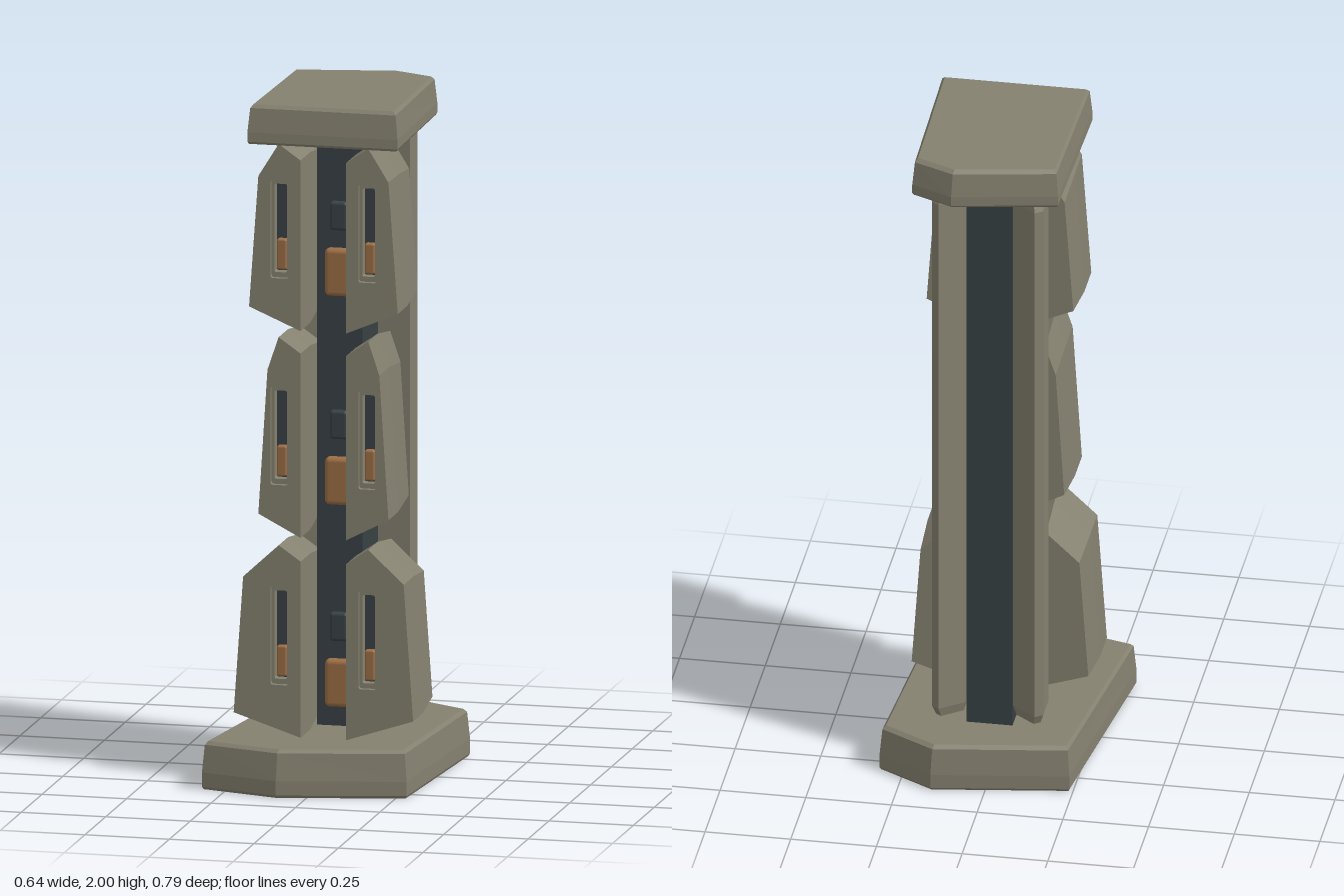
import * as THREE from 'three';
import { RoundedBoxGeometry } from 'three/addons/geometries/RoundedBoxGeometry.js';

const CX = 0.0125; // mirror plane of the column

const stone = new THREE.MeshStandardMaterial({ color: 0x858170 });
const dark = new THREE.MeshStandardMaterial({ color: 0x384144 });
const copper = new THREE.MeshStandardMaterial({ color: 0x9c6e45 });

// Closed, faceted solid through convex rings of equal point count
function loft(rings) {
  const tris = [];
  const n = rings[0].length;
  for (let r = 0; r < rings.length - 1; r++) {
    for (let i = 0; i < n; i++) {
      const j = (i + 1) % n, a = rings[r], b = rings[r + 1];
      tris.push([a[i], a[j], b[j]], [a[i], b[j], b[i]]);
    }
  }
  const first = rings[0], last = rings[rings.length - 1];
  for (let i = 1; i < n - 1; i++) {
    tris.push([first[0], first[i + 1], first[i]], [last[0], last[i], last[i + 1]]);
  }
  // Signed volume tells whether the faces point outward
  let volume = 0;
  for (const [a, b, c] of tris) volume += a.dot(b.clone().cross(c));
  if (volume < 0) tris.forEach((t) => t.reverse());
  const g = new THREE.BufferGeometry().setFromPoints(tris.flat());
  g.computeVertexNormals();
  return g;
}

function add(parent, name, geometry, material, x = 0, y = 0, z = 0) {
  const m = new THREE.Mesh(geometry, material);
  m.name = name;
  m.position.set(x, y, z);
  parent.add(m);
  return m;
}

// Irregular slab with softened rims; levels are [y, inset]
function slab(outline, levels) {
  return loft(levels.map(([y, inset]) => outline.map(([x, z]) => {
    const k = 1 - inset / Math.hypot(x, z);
    return new THREE.Vector3(x * k, y, z * k);
  })));
}

function roundedRect(Type, x, y, w, h, r) {
  const p = new Type();
  const a = x - w / 2, b = x + w / 2, c = y - h / 2, d = y + h / 2;
  p.moveTo(a + r, c).lineTo(b - r, c).quadraticCurveTo(b, c, b, c + r);
  p.lineTo(b, d - r).quadraticCurveTo(b, d, b - r, d);
  p.lineTo(a + r, d).quadraticCurveTo(a, d, a, d - r);
  p.lineTo(a, c + r).quadraticCurveTo(a, c, a + r, c);
  return p;
}

// Armour panel: slotted front block, tapered back, recessed insert
function panel(side, { bottom, top, outer, shoulder }) {
  const group = new THREE.Group();
  const X = (d) => CX + side * d;
  const outline = [
    [X(0.0675), bottom], [X(outer), bottom + 0.065], [X(shoulder), top - 0.097],
    [X(0.1325), top], [X(0.0675), top - 0.045],
  ].map(([x, y]) => new THREE.Vector2(x, y));

  const slotX = X(0.13), slotY = bottom + 0.297;
  const shape = new THREE.Shape(outline);
  shape.holes.push(roundedRect(THREE.Path, slotX, slotY, 0.053, 0.29, 0.008));
  const front = new THREE.ExtrudeGeometry(shape, { depth: 0.115, bevelEnabled: false, curveSegments: 4 });
  add(group, 'panelFront', front, stone, 0, 0, 0.1);

  const cx = X((0.0675 + outer) / 2), cy = (bottom + top) / 2;
  const ring = (z, k) => outline.map((p) =>
    new THREE.Vector3(cx + (p.x - cx) * k, cy + (p.y - cy) * k, z));
  add(group, 'panelBack', loft([ring(0.1, 1), ring(-0.05, 0.92)]), stone);

  // Slot lining, dark bar and copper slider
  const lining = roundedRect(THREE.Shape, slotX, slotY, 0.053, 0.29, 0.008);
  lining.holes.push(roundedRect(THREE.Path, slotX, slotY, 0.037, 0.26, 0.006));
  add(group, 'slotLining', new THREE.ExtrudeGeometry(lining, { depth: 0.08, bevelEnabled: false, curveSegments: 4 }),
    stone, 0, 0, 0.12);
  add(group, 'slotBar', new THREE.BoxGeometry(0.038, 0.262, 0.04), dark, slotX, slotY, 0.15);
  add(group, 'slotSlider', new RoundedBoxGeometry(0.03, 0.09, 0.03, 2, 0.006), copper, slotX, slotY - 0.08, 0.175);
  return group;
}

// Rear rail with a slanted inner face and slightly pinched ends
function rail(side) {
  const profile = [[0.0675, -0.17], [0.1625, -0.165], [0.1625, -0.255], [0.14, -0.272], [0.0675, -0.215]];
  const cx = 0.115, cz = -0.205;
  const levels = [[0.17, 0.8], [0.2, 1], [1.855, 1], [1.89, 0.8]];
  return loft(levels.map(([y, k]) => profile.map(([d, z]) =>
    new THREE.Vector3(CX + side * (cx + (d - cx) * k), y, cz + (z - cz) * k))));
}

export function createModel() {
  const model = new THREE.Group();
  model.name = 'column';

  // Base and cap slabs
  const baseOutline = [[-0.24, -0.335], [0.155, -0.395], [0.32, -0.3], [0.282, 0.31], [-0.085, 0.392], [-0.32, 0.325]];
  add(model, 'base', slab(baseOutline, [[0, 0.006], [0.008, 0], [0.05, 0], [0.13, 0.01], [0.14, 0.022]]), stone);
  const capOutline = [[-0.197, -0.28], [0.105, -0.335], [0.228, -0.28], [0.237, 0.237], [-0.207, 0.237]];
  add(model, 'cap', slab(capOutline, [[1.885, 0.006], [1.892, 0], [1.92, 0], [1.99, 0.01], [2, 0.022]]), stone);

  // Dark core and rear rails
  add(model, 'core', new THREE.BoxGeometry(0.135, 1.76, 0.245), dark, CX, 1.015, -0.1025);
  for (const side of [-1, 1]) add(model, side < 0 ? 'rightRail' : 'leftRail', rail(side), stone);

  // Three tiers of paired panels, with a lamp and a button on the core
  const tiers = [
    { bottom: 0.142, top: 0.705, outer: 0.2655, shoulder: 0.2375, lamp: 0.268 },
    { bottom: 0.73, top: 1.317, outer: 0.1925, shoulder: 0.1655, lamp: 0.862 },
    { bottom: 1.338, top: 1.885, outer: 0.22, shoulder: 0.1925, lamp: 1.476 },
  ];
  for (const tier of tiers) {
    for (const side of [-1, 1]) {
      const p = panel(side, tier);
      p.name = side < 0 ? 'rightPanel' : 'leftPanel';
      model.add(p);
    }
    add(model, 'lamp', new RoundedBoxGeometry(0.08, 0.14, 0.04, 2, 0.014), copper, CX, tier.lamp, 0.025);
    add(model, 'button', new RoundedBoxGeometry(0.054, 0.085, 0.03, 2, 0.01), dark, CX, tier.lamp + 0.165, 0.022);
  }
  return model;
}
